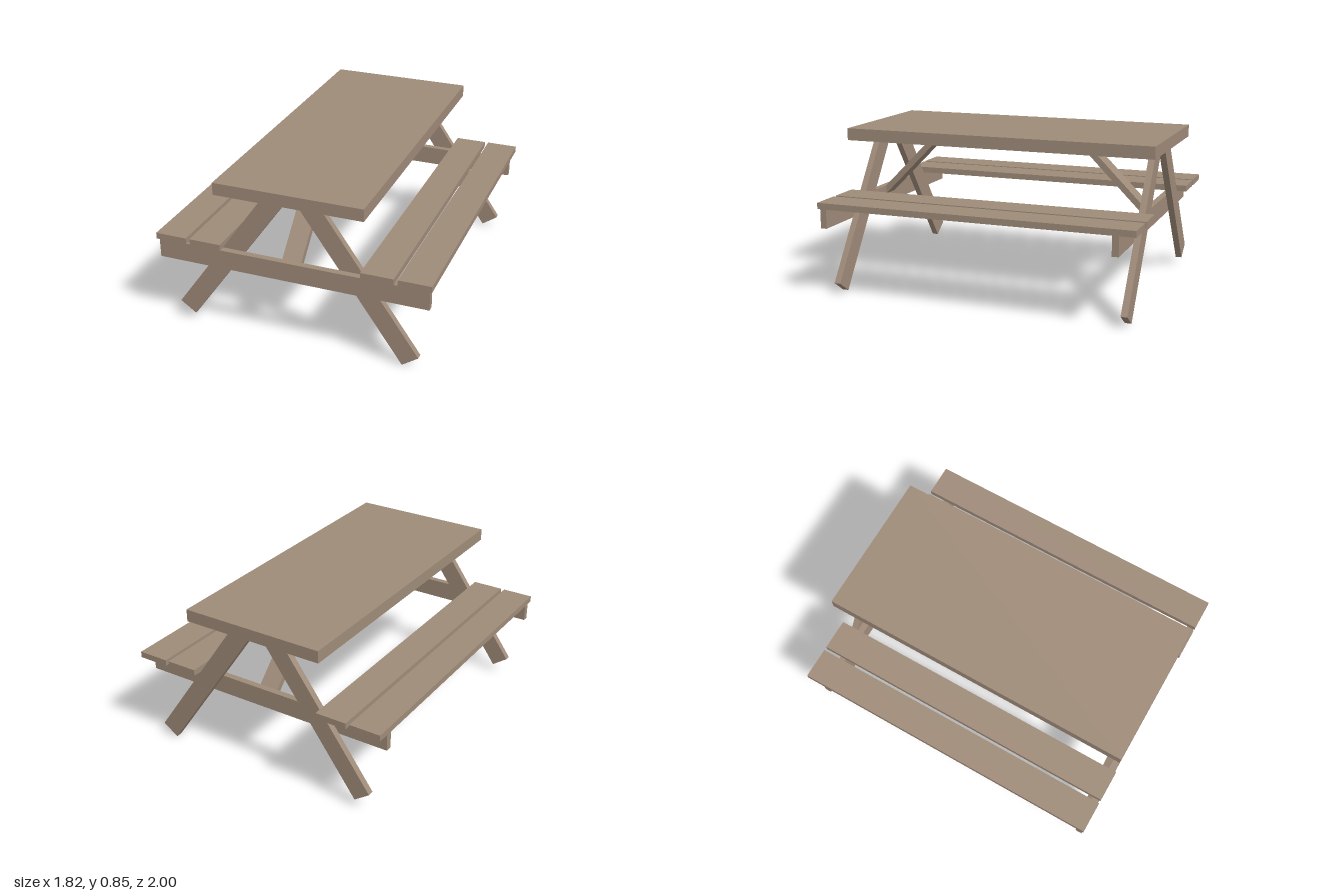
import * as THREE from 'three';

export function createModel() {
  const model = new THREE.Group();
  model.name = 'picnicTable';
  const wood = new THREE.MeshStandardMaterial({ color: 0x9f8b79 });
  wood.name = 'weatheredWood';

  function board(name, w, h, d, x, y, z, parent = table) {
    const mesh = new THREE.Mesh(new THREE.BoxGeometry(w, h, d), wood);
    mesh.name = name;
    mesh.position.set(x, y, z);
    parent.add(mesh);
    return mesh;
  }

  // The whole table stands turned on its vertical axis
  const table = new THREE.Group();
  table.name = 'table';
  table.rotation.y = 0.238;
  model.add(table);

  board('tableTop', 0.782, 0.065, 1.7, 0, 0.8175, -0.002);

  // Two bench planks on each side
  for (const side of [-1, 1]) {
    board('outerBenchPlank', 0.169, 0.033, 1.7, side * 0.6455, 0.4915, -0.003);
    board('innerBenchPlank', 0.169, 0.033, 1.7, side * 0.4565, 0.4915, -0.003);
  }

  // A leg board running from its foot up into the table top
  function leg(name, footX, footY, topX, topY, z) {
    const dx = topX - footX, dy = topY - footY;
    const mesh = board(name, 0.102, Math.hypot(dx, dy), 0.034,
      (footX + topX) / 2, (footY + topY) / 2, z);
    mesh.rotation.z = -Math.atan2(dx, dy);
  }

  // End frames: bench beam with a pair of splayed legs behind it
  for (const [label, z] of [['front', 0.82], ['back', -0.75]]) {
    board(label + 'BenchBeam', 1.437, 0.102, 0.034, 0, 0.421, z);
    leg(label + 'RightLeg', -0.602, 0.07, -0.068, 0.815, z - 0.034);
    leg(label + 'LeftLeg', 0.62, 0.03, 0.073, 0.815, z - 0.034);
  }

  // Diagonal braces, cut upright at the beam and level under the top
  function brace(name, end, y, side) {
    const top = 0.79, t = 0.047;
    const s = new THREE.Shape([
      [end, y], [end, y + t],
      [end - side * (top - y - t), top], [end - side * (top - y), top],
    ].map(([z, h]) => new THREE.Vector2(-z, h)));
    const geo = new THREE.ExtrudeGeometry(s, { depth: 0.102, bevelEnabled: false });
    geo.translate(0, 0, -0.051).rotateY(Math.PI / 2);
    const mesh = new THREE.Mesh(geo, wood);
    mesh.name = name;
    table.add(mesh);
  }
  brace('frontBrace', 0.803, 0.425, 1);
  brace('backBrace', -0.733, 0.405, -1);

  return model;
}
